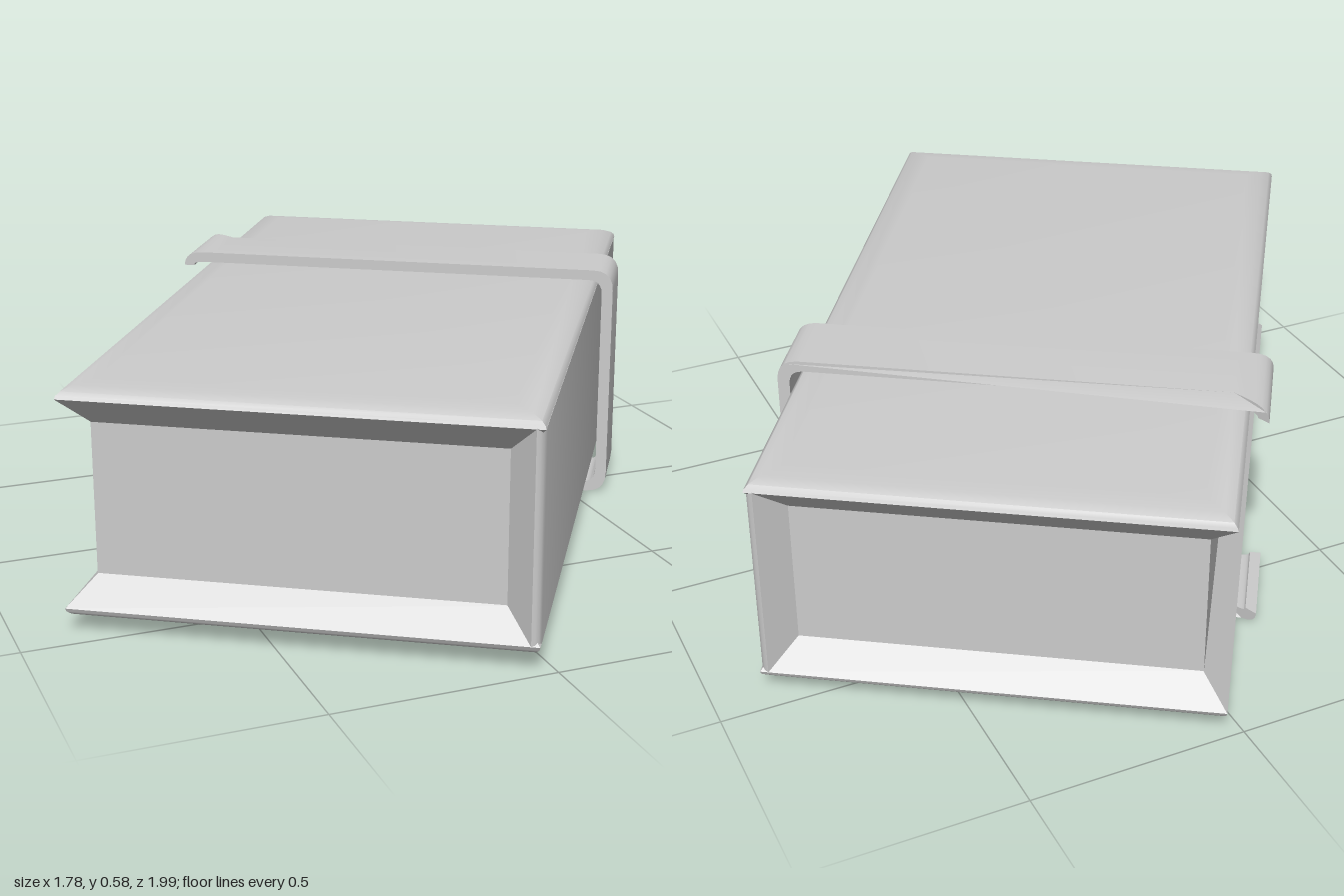
import * as THREE from 'three';
import { toCreasedNormals } from 'three/addons/utils/BufferGeometryUtils.js';

const material = new THREE.MeshStandardMaterial({ color: 0xcccccc });

// Rectangular slab from stacked loops; profile rows are [insetZ, height, insetX], bottom to top
function slab(halfX, halfZ, profile) {
  const corners = [[1, 1], [1, -1], [-1, -1], [-1, 1]];
  const positions = [], index = [];
  profile.forEach(([iz, y, ix = iz], row) => {
    corners.forEach(([sx, sz], k) => {
      positions.push(sx * (halfX - ix), y, sz * (halfZ - iz));
      if (row === 0) return;
      const l0 = (row - 1) * 4 + k, l1 = (row - 1) * 4 + (k + 1) % 4;
      index.push(l0, l1, l1 + 4, l0, l1 + 4, l0 + 4);
    });
  });
  const t = (profile.length - 1) * 4;
  index.push(t, t + 1, t + 2, t, t + 2, t + 3, 0, 2, 1, 0, 3, 2);
  const geo = new THREE.BufferGeometry();
  geo.setAttribute('position', new THREE.Float32BufferAttribute(positions, 3));
  geo.setIndex(index);
  return toCreasedNormals(geo, 0.6);
}

// Open band around the spine, with short hooked ends over the fore edge
function strapGeometry() {
  const s = new THREE.Shape();
  s.moveTo(-0.55, 0.545);
  s.quadraticCurveTo(-0.55, 0.58, -0.5, 0.58);
  s.lineTo(-0.47, 0.58);
  s.lineTo(0.5, 0.58);
  s.quadraticCurveTo(0.55, 0.58, 0.55, 0.53);
  s.lineTo(0.55, 0.05);
  s.quadraticCurveTo(0.55, 0, 0.5, 0);
  s.lineTo(-0.47, 0);
  s.lineTo(-0.5, 0);
  s.quadraticCurveTo(-0.55, 0, -0.55, 0.035);
  s.lineTo(-0.525, 0.035);
  s.quadraticCurveTo(-0.525, 0.025, -0.5, 0.025);
  s.lineTo(-0.47, 0.025);
  s.lineTo(0.49, 0.025);
  s.quadraticCurveTo(0.523, 0.025, 0.523, 0.06);
  s.lineTo(0.523, 0.52);
  s.quadraticCurveTo(0.523, 0.555, 0.49, 0.555);
  s.lineTo(-0.47, 0.555);
  s.lineTo(-0.5, 0.555);
  s.quadraticCurveTo(-0.525, 0.555, -0.525, 0.545);
  const geo = new THREE.ExtrudeGeometry(s, { depth: 0.18, bevelEnabled: false, curveSegments: 5 });
  geo.translate(0, 0, -0.41);
  // Flare the back side of the hooked ends
  const p = geo.attributes.position;
  for (let i = 0; i < p.count; i++) {
    const flare = Math.max(0, (-0.47 - p.getX(i)) / 0.08);
    if (p.getZ(i) < -0.4) p.setZ(i, p.getZ(i) - 0.06 * flare);
  }
  return toCreasedNormals(geo, 0.6);
}

export function createModel() {
  const book = new THREE.Group();
  book.name = 'book';
  const add = (name, geo, x = 0, y = 0) => {
    const mesh = new THREE.Mesh(geo, material);
    mesh.name = name;
    mesh.position.set(x, y, 0);
    book.add(mesh);
    return mesh;
  };
  const midY = 0.292;

  // Covers: bevelled underside, thin lip, softly rounded top
  const coverGeo = slab(0.506, 0.857, [
    [0.057, 0.17], [0, 0.233], [0.002, 0.24], [0.01, 0.248], [0.03, 0.257], [0.07, 0.263],
  ]);
  add('topCover', coverGeo, 0, midY);
  add('bottomCover', coverGeo, 0, midY).rotation.x = Math.PI;

  // Spine board, bevelled at its inner ends and rounded at its outer ends
  const spineGeo = slab(0.235, 0.857, [
    [0.057, 0.43, 0], [0, 0.487, 0], [0.003, 0.495, 0], [0.01, 0.502, 0], [0.022, 0.506, 0],
  ]);
  add('spine', spineGeo, 0, midY).rotation.z = -Math.PI / 2;

  // Page block
  add('pages', new THREE.BoxGeometry(0.9, 0.36, 1.6), 0, midY);

  add('strap', strapGeometry());

  book.rotation.y = -0.574;
  const model = new THREE.Group();
  model.name = 'strappedBook';
  model.add(book);
  return model;
}
